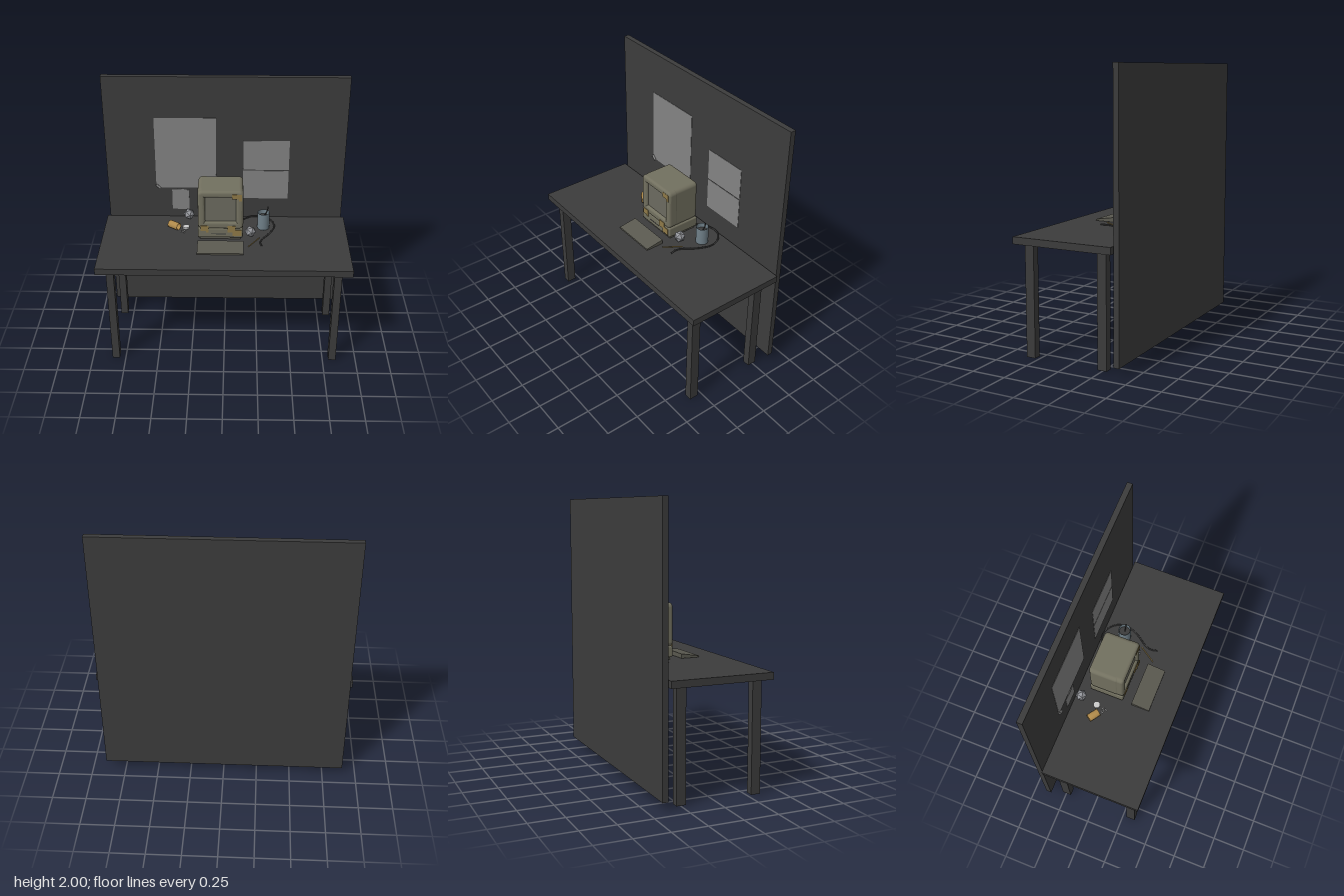
import * as THREE from 'three';
import { RoundedBoxGeometry } from 'three/addons/geometries/RoundedBoxGeometry.js';

const mat = (color, extra = {}) => new THREE.MeshStandardMaterial({ color, ...extra });
const DARK = mat(0x3c3c3c);
const PAPER = mat(0x838383, { side: THREE.DoubleSide });
const CASE = mat(0x72705f);
const SCREEN = mat(0x6c6b60);
const KEYS = mat(0x5a5950);
const NOTE = mat(0x8f7a48, { side: THREE.DoubleSide });
const AMBER = mat(0xb08a4a, { side: THREE.DoubleSide });
const MUG = mat(0x6f7f88, { side: THREE.DoubleSide });
const DICE = mat(0x94969b, { flatShading: true });
const WHITE = mat(0xcccccc);

export function createModel() {
  const model = new THREE.Group();

  function add(name, geometry, material, x = 0, y = 0, z = 0) {
    const mesh = new THREE.Mesh(geometry, material);
    mesh.name = name;
    mesh.position.set(x, y, z);
    model.add(mesh);
    return mesh;
  }
  // Box given by its limits on each axis
  function box(name, material, [x0, x1], [y0, y1], [z0, z1], radius = 0) {
    const size = [x1 - x0, y1 - y0, z1 - z0];
    const geometry = radius ? new RoundedBoxGeometry(...size, 4, radius) : new THREE.BoxGeometry(...size);
    return add(name, geometry, material, (x0 + x1) / 2, (y0 + y1) / 2, (z0 + z1) / 2);
  }
  // Flat outline pulled forward from z
  function plate(name, material, points, z, depth) {
    const shape = new THREE.Shape(points.map(p => new THREE.Vector2(...p)));
    return add(name, new THREE.ExtrudeGeometry(shape, { depth, bevelEnabled: false }), material, 0, 0, z);
  }
  // Round wire along a smooth path
  function wire(name, material, points, radius, segments) {
    const curve = new THREE.CatmullRomCurve3(points.map(p => new THREE.Vector3(...p)));
    return add(name, new THREE.TubeGeometry(curve, segments, radius, 8), material);
  }

  // Back wall and table
  box('wall', DARK, [-0.9, 0.9], [0.055, 2], [-0.4, -0.36]);
  box('tableTop', DARK, [-0.92, 0.92], [0.8, 0.85], [-0.35, 0.4]);
  for (const side of [-1, 1]) {
    for (const z of [-0.245, 0.315]) {
      box('tableLeg', DARK, [side * 0.8225 - 0.0275, side * 0.8225 + 0.0275], [0, 0.8], [z - 0.034, z + 0.034]);
    }
  }

  // Sheets on the wall
  const sheet = [-0.3595, -0.357];
  plate('largePoster', PAPER, [[-0.5, 1.1], [-0.07, 1.1], [-0.07, 1.68], [-0.53, 1.68], [-0.53, 1.13]], -0.3595, 0.0025);
  box('upperSheet', PAPER, [0.135, 0.48], [1.258, 1.5], sheet);
  box('lowerSheet', PAPER, [0.135, 0.48], [1.01, 1.25], sheet);
  box('smallSheet', PAPER, [-0.41, -0.28], [0.91, 1.08], sheet);
  box('sheetTape', PAPER, [-0.37, -0.32], [1.075, 1.087], [-0.3595, -0.354]);
  // Curled poster corner
  const curl = add('posterCurl', new THREE.CylinderGeometry(0.009, 0.009, 0.045, 10, 1, true), PAPER, -0.515, 1.112, -0.35);
  curl.rotation.z = Math.PI / 4;

  // Computer: rounded case, framed screen, base
  const cx = -0.03;
  box('monitorCase', CASE, [-0.2, 0.135], [0.945, 1.26], [-0.265, -0.03], 0.03);
  const w = 0.1475, lo = 0.965, hi = 1.24, r = 0.012;
  const frame = new THREE.Shape();
  frame.absarc(w - r, hi - r, r, 0, Math.PI / 2);
  frame.absarc(r - w, hi - r, r, Math.PI / 2, Math.PI);
  frame.absarc(r - w, lo + r, r, Math.PI, Math.PI * 1.5);
  frame.absarc(w - r, lo + r, r, Math.PI * 1.5, Math.PI * 2);
  const hole = new THREE.Path();
  // The bevel closes the opening in by 0.02 less at the face
  hole.setFromPoints([[-0.134, 0.985], [-0.134, 1.226], [0.134, 1.226], [0.134, 0.985]].map(p => new THREE.Vector2(...p)));
  frame.holes.push(hole);
  add('screenFrame', new THREE.ExtrudeGeometry(frame, {
    depth: 0.04, bevelThickness: 0.02, bevelSize: 0.02, bevelOffset: 0, bevelSegments: 4, curveSegments: 6,
  }), CASE, cx, 0, -0.06);
  box('screen', SCREEN, [-0.17, 0.11], [0.975, 1.235], [-0.04, -0.02]);
  box('computerBase', CASE, [-0.2, 0.135], [0.868, 0.95], [-0.265, -0.004], 0.012);
  box('baseFoot', KEYS, [-0.185, 0.12], [0.85, 0.87], [-0.25, -0.02]);
  box('driveSlot', DARK, [-0.1, 0.01], [0.9, 0.906], [-0.01, -0.002]);

  // Notes stuck on the computer
  plate('cornerNote', NOTE, [[0.055, 1.24], [0.125, 1.24], [0.125, 1.185], [0.105, 1.185], [0.105, 1.2], [0.055, 1.2]], 0.0005, 0.002);
  plate('leftNote', NOTE, [[-0.178, 0.975], [-0.12, 0.975], [-0.12, 0.92], [-0.14, 0.92], [-0.14, 0.93], [-0.178, 0.93]], 0.0005, 0.004);
  plate('rightNote', NOTE, [[0.02, 0.975], [0.08, 0.975], [0.08, 0.94], [0.125, 0.94], [0.125, 0.89], [0.06, 0.89], [0.06, 0.92], [0.02, 0.92]], 0.0005, 0.004);

  // Wedge keyboard, extruded sideways
  const wedge = plate('keyboard', KEYS, [[-0.205, 0.853], [-0.065, 0.853], [-0.065, 0.886], [-0.205, 0.864]], 0, 0.34);
  wedge.rotation.y = Math.PI / 2;
  wedge.position.x = -0.2;

  // Mug with drink and stirrer
  const mugProfile = [[0, 0], [0.044, 0], [0.046, 0.003], [0.046, 0.133], [0.042, 0.133], [0.042, 0.01], [0, 0.01]];
  add('mug', new THREE.LatheGeometry(mugProfile.map(p => new THREE.Vector2(...p)), 32), MUG, 0.292, 0.852, -0.185);
  const drink = add('drink', new THREE.CircleGeometry(0.042, 32), DARK, 0.292, 0.95, -0.185);
  drink.rotation.x = -Math.PI / 2;
  wire('stirrer', DARK, [[0.26, 0.87, -0.185], [0.31, 0.98, -0.185], [0.322, 1.01, -0.185], [0.323, 1.04, -0.185]], 0.004, 16);

  // Twenty-sided dice
  for (const [x, z] of [[-0.28, -0.305], [0.192, -0.055]]) {
    const die = add('die', new THREE.IcosahedronGeometry(0.043), DICE, x, 0.895, z);
    die.rotation.set(0.35, 0.3, 0.1);
  }

  // Tipped-over pill bottle, its cap and spilled pills
  const bottleProfile = [[0, -0.043], [0.028, -0.043], [0.028, 0.043], [0.023, 0.043], [0.023, -0.037], [0, -0.037]];
  const bottle = add('pillBottle', new THREE.LatheGeometry(bottleProfile.map(p => new THREE.Vector2(...p)), 24), AMBER, -0.386, 0.88, -0.162);
  bottle.quaternion.setFromUnitVectors(new THREE.Vector3(0, 1, 0), new THREE.Vector3(0.82, 0, 0.57).normalize());
  add('bottleCap', new THREE.CylinderGeometry(0.025, 0.025, 0.014, 24), WHITE, -0.297, 0.857, -0.174);
  [[-0.335, -0.115], [-0.318, -0.108], [-0.305, -0.122], [-0.308, -0.095]].forEach(([x, z], i) => {
    const pill = add('pill', new THREE.CapsuleGeometry(0.004, 0.01, 4, 8), WHITE, x, 0.854, z);
    pill.rotation.set(Math.PI / 2, 0, i * 1.1);
  });

  // Cable running round the mug, and a pencil
  wire('cable', DARK, [[0.1, 0.88, -0.255], [0.14, 0.86, -0.295], [0.2, 0.856, -0.34], [0.28, 0.856, -0.342],
    [0.35, 0.856, -0.29], [0.376, 0.856, -0.2], [0.335, 0.856, -0.09], [0.28, 0.856, -0.01], [0.265, 0.856, 0.04], [0.275, 0.856, 0.09]], 0.006, 64);
  const pencil = add('pencil', new THREE.CylinderGeometry(0.004, 0.004, 0.145, 6), NOTE, 0.218, 0.854, 0.03);
  pencil.quaternion.setFromUnitVectors(new THREE.Vector3(0, 1, 0), new THREE.Vector3(0.08, 0, -0.12).normalize());

  return model;
}
